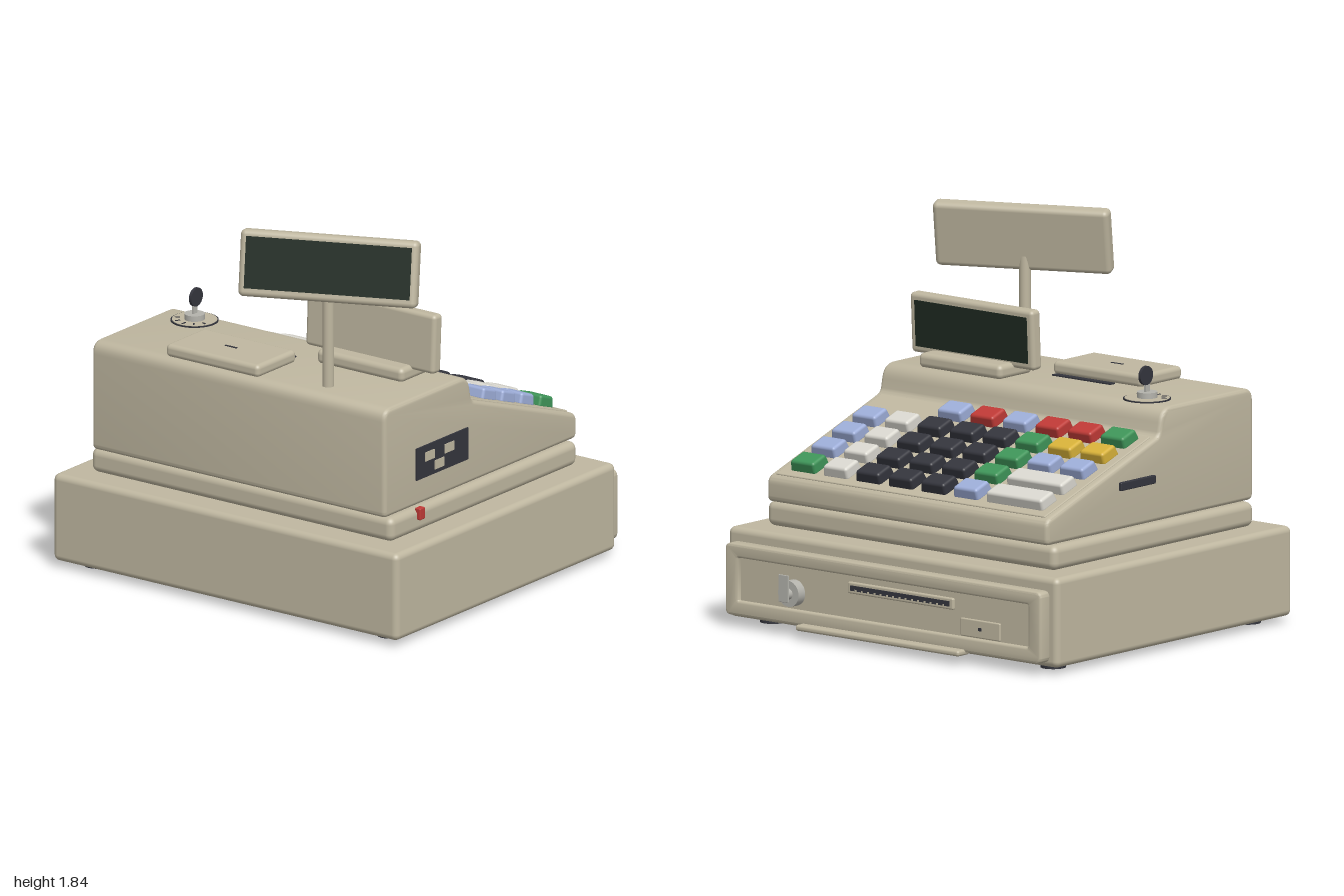
import * as THREE from 'three';
import { toCreasedNormals } from 'three/addons/utils/BufferGeometryUtils.js';
import { RoundedBoxGeometry } from 'three/addons/geometries/RoundedBoxGeometry.js';

const material = (name, color) => {
  const m = new THREE.MeshStandardMaterial({ color });
  m.name = name;
  return m;
};

// Closed shape through points, each corner rounded by its own radius [a, b, r]
function roundedShape(points) {
  const shape = new THREE.Shape();
  const n = points.length;
  points.forEach(([a, b, r], i) => {
    const p = new THREE.Vector2(a, b);
    const toward = (q) => new THREE.Vector2(q[0], q[1]).sub(p).setLength(r).add(p);
    const s = toward(points[(i + n - 1) % n]);
    const e = toward(points[(i + 1) % n]);
    if (i === 0) shape.moveTo(s.x, s.y);
    else shape.lineTo(s.x, s.y);
    shape.quadraticCurveTo(a, b, e.x, e.y);
  });
  shape.closePath();
  return shape;
}

const rectPoints = (x0, x1, y0, y1, r) => [[x0, y0, r], [x1, y0, r], [x1, y1, r], [x0, y1, r]];

export function createModel() {
  const root = new THREE.Group();
  root.name = 'cashRegister';

  const beige = material('beige casing', 0xbfb7a0);
  const black = material('black plastic', 0x34353d);
  const screen = material('dark green screen', 0x1e2a21);
  const metal = material('metal', 0xb4b3ac);
  const white = material('white key', 0xdad8d0);
  const blue = material('blue key', 0x9dadd8);
  const green = material('green key', 0x3f9559);
  const red = material('red key', 0xbf3a36);
  const yellow = material('yellow key', 0xd8b239);

  const add = (name, geometry, mat, x = 0, y = 0, z = 0, parent = root) => {
    const mesh = new THREE.Mesh(geometry, mat);
    mesh.name = name;
    mesh.position.set(x, y, z);
    parent.add(mesh);
    return mesh;
  };
  // Box given by its limits, optionally rounded
  const block = (name, mat, [x0, x1], [y0, y1], [z0, z1], r = 0, parent = root) => {
    const size = [x1 - x0, y1 - y0, z1 - z0];
    const g = r ? new RoundedBoxGeometry(...size, 4, r) : new THREE.BoxGeometry(...size);
    return add(name, g, mat, (x0 + x1) / 2, (y0 + y1) / 2, (z0 + z1) / 2, parent);
  };
  const cylinder = (name, mat, r, h, x, y, z, parent = root) =>
    add(name, new THREE.CylinderGeometry(r, r, h, 32), mat, x, y, z, parent);

  // Cash drawer housing and feet
  block('drawerHousing', beige, [-1, 1], [0.03, 0.455], [-0.785, 0.915], 0.03);
  for (const x of [-0.85, 0.85])
    for (const z of [-0.635, 0.77]) cylinder('foot', black, 0.06, 0.034, x, 0.017, z);

  // Drawer front with a raised rim
  block('drawerFront', beige, [-0.95, 0.95], [0.065, 0.385], [-0.832, -0.77], 0.01);
  const rim = roundedShape(rectPoints(-0.945, 0.945, 0.067, 0.383, 0.02));
  rim.holes.push(roundedShape(rectPoints(-0.89, 0.89, 0.115, 0.342, 0.02)));
  const rimGeometry = new THREE.ExtrudeGeometry(rim, {
    depth: 0.05, bevelThickness: 0.012, bevelSize: 0.012, bevelSegments: 3,
  });
  add('drawerRim', toCreasedNormals(rimGeometry, 0.6), beige, 0, 0, -0.843);
  block('drawerHandle', beige, [-0.5, 0.49], [0.042, 0.07], [-0.905, -0.82], 0.012);

  // Drawer slot, latch plate and lock
  block('slotSurround', beige, [-0.42, 0.22], [0.245, 0.3], [-0.847, -0.825], 0.008);
  block('drawerSlot', black, [-0.4, 0.2], [0.26, 0.285], [-0.85, -0.843]);
  for (let i = 0; i < 15; i++)
    block('slotTooth', beige, [-0.37 + i * 0.038, -0.36 + i * 0.038], [0.26, 0.268], [-0.852, -0.848]);
  block('latchPlate', beige, [-0.7, -0.46], [0.13, 0.215], [-0.842, -0.825], 0.006);
  block('latchMark', black, [-0.59, -0.57], [0.165, 0.18], [-0.845, -0.838]);
  const drawerLock = new THREE.Group();
  drawerLock.name = 'drawerLock';
  drawerLock.position.set(0.55, 0.205, -0.83);
  root.add(drawerLock);
  cylinder('lockPlate', metal, 0.062, 0.05, 0, 0, -0.025, drawerLock).rotation.x = Math.PI / 2;
  cylinder('lockBarrel', metal, 0.026, 0.04, 0, 0, -0.06, drawerLock).rotation.x = Math.PI / 2;
  block('keyStem', metal, [-0.007, 0.007], [-0.012, 0.012], [-0.085, -0.05], 0, drawerLock);
  block('keyBow', metal, [-0.03, 0.03], [-0.035, 0.095], [-0.087, -0.08], 0.003, drawerLock);

  // Plinth and sloped body
  block('plinth', beige, [-0.875, 0.875], [0.455, 0.572], [-0.655, 0.79], 0.035);
  const profile = roundedShape([
    [0.81, 0.575, 0.03], [0.81, 1.105, 0.06], [0.155, 1.105, 0.07],
    [0.13, 0.975, 0.025], [-0.68, 0.693, 0.035], [-0.68, 0.575, 0.03],
  ]);
  const bodyGeometry = new THREE.ExtrudeGeometry(profile, {
    depth: 1.66, bevelThickness: 0.02, bevelSize: 0.02, bevelOffset: -0.02, bevelSegments: 4, curveSegments: 8,
  });
  bodyGeometry.translate(0, 0, -0.83).rotateY(-Math.PI / 2);
  add('body', toCreasedNormals(bodyGeometry, 0.6), beige);

  // Keyboard lying on the slope
  const tilt = 0.335;
  const keyboard = new THREE.Group();
  keyboard.name = 'keyboard';
  keyboard.position.set(0, 0.836, -0.27);
  keyboard.rotation.x = -tilt;
  root.add(keyboard);
  block('keyboardPanel', beige, [-0.815, 0.815], [-0.01, 0.006], [-0.405, 0.4], 0.006, keyboard);

  const keyGeometry = (w) => {
    const g = new RoundedBoxGeometry(w, 0.06, 0.116, 3, 0.014);
    const p = g.attributes.position;
    // Narrow the top by a fixed margin
    for (let i = 0; i < p.count; i++) {
      const t = (p.getY(i) + 0.03) / 0.06;
      p.setX(i, p.getX(i) - Math.sign(p.getX(i)) * 0.008 * t);
      p.setZ(i, p.getZ(i) - Math.sign(p.getZ(i)) * 0.008 * t);
    }
    return g;
  };
  const single = keyGeometry(0.155);
  const wide = keyGeometry(0.35);
  const colours = { w: white, W: white, b: blue, g: green, r: red, y: yellow, k: black };
  // One letter per column, W is a double-width key
  const rows = ['W.bkkkwg', 'W.gkkkwb', 'bbgkkkwb', 'yygkkkwb', 'grrbrb..'];
  rows.forEach((row, j) => {
    [...row].forEach((c, i) => {
      if (c === '.') return;
      const x = -0.695 + i * 0.1975 + (c === 'W' ? 0.099 : 0);
      const z = (-0.287 + j * 0.147) / Math.cos(tilt);
      add('key', c === 'W' ? wide : single, colours[c], x, 0.026, z, keyboard);
    });
  });

  // Printer lid and paper slot
  block('printerLid', beige, [-0.45, 0.09], [1.1, 1.162], [0.475, 0.775], 0.022);
  block('paperSlot', black, [-0.305, 0.05], [1.1, 1.111], [0.425, 0.46]);
  block('lidMark', black, [-0.215, -0.145], [1.16, 1.164], [0.617, 0.629]);

  // Mode dial with key
  const dial = new THREE.Group();
  dial.name = 'modeDial';
  dial.position.set(-0.65, 1.105, 0.28);
  root.add(dial);
  cylinder('dialOutline', black, 0.112, 0.006, 0, 0.003, 0, dial);
  cylinder('dialPlate', beige, 0.106, 0.008, 0, 0.004, 0, dial);
  for (let i = 0; i < 5; i++) {
    const a = (i - 2) * 0.6;
    const mark = block('dialMark', black, [-0.004, 0.004], [0.006, 0.01], [-0.012, 0.012], 0, dial);
    mark.position.set(Math.sin(a) * 0.083, 0.008, Math.cos(a) * 0.083);
    mark.rotation.y = a;
  }
  cylinder('lockBarrel', metal, 0.048, 0.03, 0, 0.02, 0, dial);
  block('keyBlade', metal, [-0.005, 0.005], [0.03, 0.08], [-0.015, 0.015], 0, dial);
  cylinder('keyBow', black, 0.045, 0.014, 0, 0.112, -0.01, dial).rotation.z = Math.PI / 2;

  // Operator display, facing the keys
  block('operatorDisplayBase', beige, [0.17, 0.67], [1.1, 1.17], [0.195, 0.435], 0.025);
  const operator = new THREE.Group();
  operator.name = 'operatorDisplay';
  operator.position.set(0.42, 1.288, 0.318);
  operator.rotation.x = -0.05;
  root.add(operator);
  add('operatorCase', new RoundedBoxGeometry(0.745, 0.285, 0.066, 4, 0.02), beige, 0, 0, 0, operator);
  add('operatorScreen', new THREE.BoxGeometry(0.68, 0.22, 0.008), screen, 0, 0, -0.032, operator);

  // Customer display on a pole, turned and leaning back
  cylinder('pole', beige, 0.027, 0.5, 0.42, 1.34, 0.672);
  const customer = new THREE.Group();
  customer.name = 'customerDisplay';
  customer.position.set(0.425, 1.68, 0.667);
  customer.rotation.set(-0.2, 0.415, 0, 'YXZ');
  root.add(customer);
  add('customerCase', new RoundedBoxGeometry(0.85, 0.315, 0.08, 4, 0.025), beige, 0, 0, 0, customer);
  add('customerScreen', new THREE.BoxGeometry(0.79, 0.245, 0.008), screen, 0, 0.005, 0.039, customer);

  // Connector panel, power switch and side slot
  block('connectorPanel', black, [0.84, 0.858], [0.7, 0.855], [0.17, 0.57]);
  for (const [y, z] of [[0.8, 0.473], [0.8, 0.322], [0.742, 0.397]])
    block('connector', beige, [0.854, 0.862], [y - 0.022, y + 0.022], [z - 0.036, z + 0.036]);
  block('powerSwitch', red, [0.86, 0.892], [0.517, 0.575], [0.55, 0.59], 0.006);
  block('sideSlot', black, [-0.865, -0.84], [0.76, 0.8], [-0.16, 0.09], 0.005);

  return root;
}
